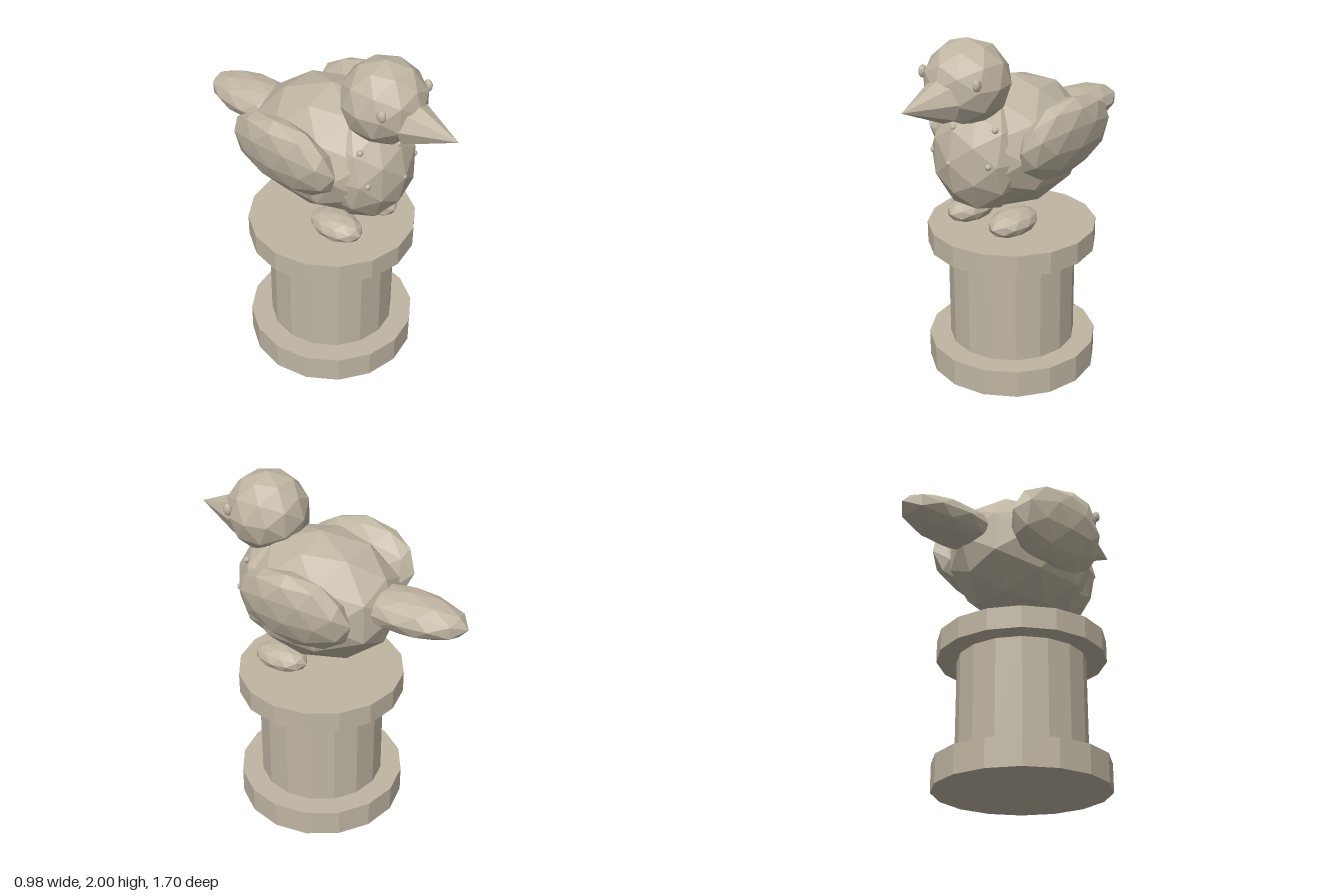
import * as THREE from 'three';

const stone = new THREE.MeshStandardMaterial({ color: 0xbfb5a2, flatShading: true });
stone.name = 'stone';

export function createModel() {
  const group = new THREE.Group();

  const add = (name, geometry, x, y, z) => {
    const mesh = new THREE.Mesh(geometry, stone);
    mesh.name = name;
    mesh.position.set(x, y, z);
    group.add(mesh);
    return mesh;
  };

  // Faceted ellipsoid with the given radii
  const blob = (name, [x, y, z], [rx, ry, rz], detail = 1) =>
    add(name, new THREE.IcosahedronGeometry(1, detail).scale(rx, ry, rz), x, y, z);

  // Pedestal drums
  const drum = (name, radius, bottom, top) =>
    add(name, new THREE.CylinderGeometry(radius, radius, top - bottom, 16), 0, (top + bottom) / 2, 0.05);
  drum('pedestalBase', 0.49, 0, 0.16);
  drum('pedestalColumn', 0.365, 0.16, 0.75);
  drum('pedestalCap', 0.48, 0.75, 0.875);

  // Bird body
  blob('body', [0, 1.37, 0.05], [0.37, 0.37, 0.48]);
  blob('breast', [0, 1.36, 0.3], [0.28, 0.335, 0.25]);
  blob('head', [0, 1.77, 0.39], [0.23, 0.23, 0.235]);
  blob('tail', [0, 1.42, -0.5], [0.167, 0.113, 0.35]);

  // Beak pointing forward
  const beak = new THREE.ConeGeometry(0.125, 0.28, 8).rotateX(Math.PI / 2);
  add('beak', beak, 0, 1.71, 0.71);

  // Breast spots down the middle
  blob('breastSpot', [0, 1.55, 0.5], [0.016, 0.016, 0.016]);
  blob('breastSpot', [0, 1.36, 0.54], [0.016, 0.016, 0.016]);

  // Paired parts
  for (const [side, s] of [['left', 1], ['right', -1]]) {
    const wing = blob(side + 'Wing', [s * 0.335, 1.44, 0], [0.12, 0.245, 0.35]);
    wing.rotation.z = -s * 0.27;
    blob(side + 'Foot', [s * 0.157, 0.965, 0.215], [0.11, 0.076, 0.168]);
    blob(side + 'Eye', [s * 0.192, 1.815, 0.52], [0.021, 0.036, 0.026]);
    blob(side + 'BreastSpot', [s * 0.2, 1.55, 0.4], [0.018, 0.018, 0.018]);
    blob(side + 'BreastSpot', [s * 0.2, 1.365, 0.455], [0.018, 0.018, 0.018]);
  }

  return group;
}
